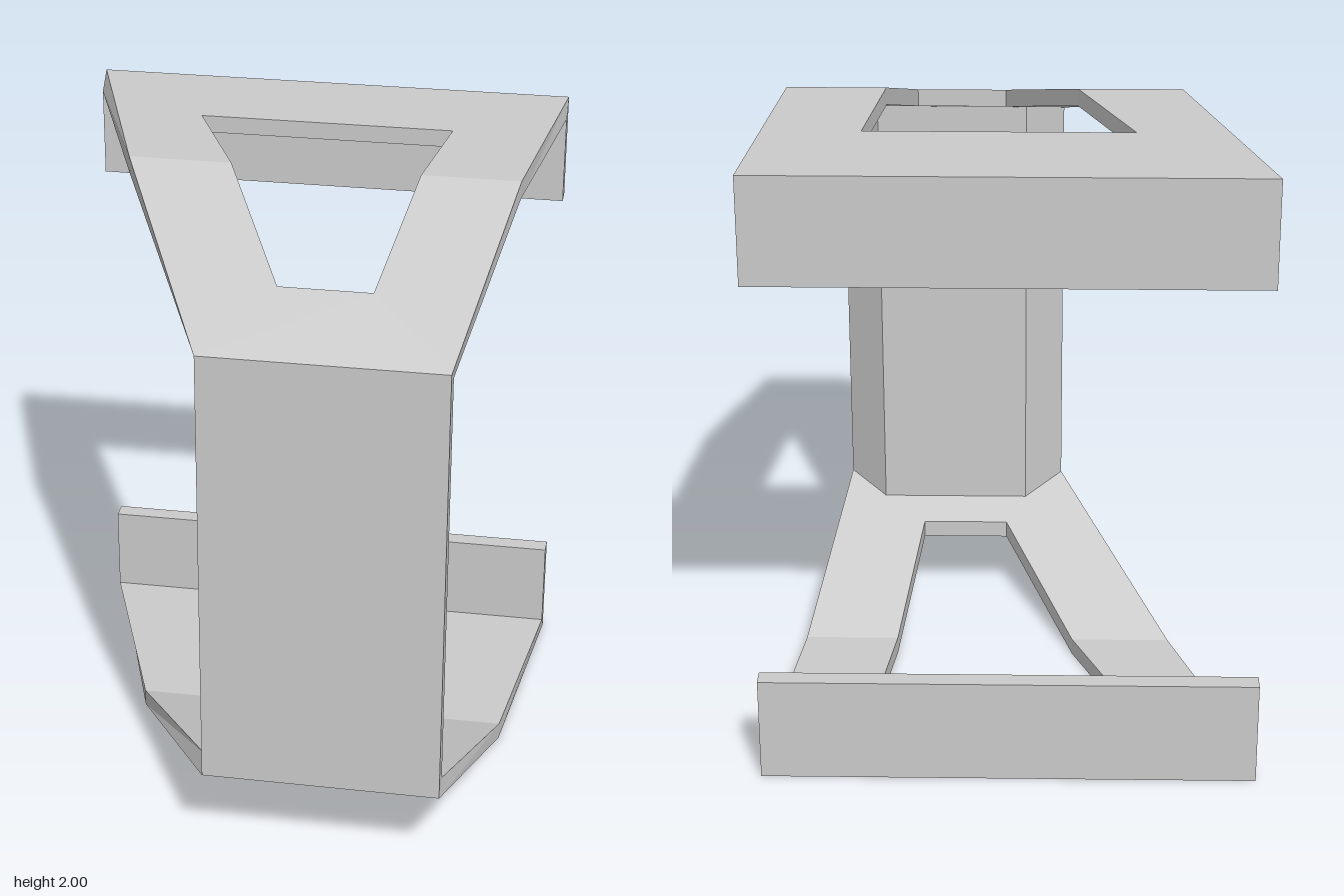
import * as THREE from 'three';

const material = new THREE.MeshStandardMaterial({ color: 0xcccccc, flatShading: true });

// Heights of the outer and inner skin of the bent plate at depth z
const BEND = -0.015;
const outerY = z => 2 - 0.357 * Math.max(0, z - BEND);
const innerY = z => 1.945 - 0.361 * Math.max(0, z - BEND);

// Joins matching loops of [x, y, z] points with flat quads
function loft(loops, closed) {
  const pos = [];
  const rows = closed ? loops.length : loops.length - 1;
  for (let j = 0; j < rows; j++) {
    const a = loops[j], b = loops[(j + 1) % loops.length];
    for (let i = 0; i < a.length; i++) {
      const k = (i + 1) % a.length;
      pos.push(...a[i], ...a[k], ...b[k], ...a[i], ...b[k], ...b[i]);
    }
  }
  const geo = new THREE.BufferGeometry();
  geo.setAttribute('position', new THREE.Float32BufferAttribute(pos, 3));
  geo.computeVertexNormals();
  return geo;
}

// Bent, tapered plate with a window; mirrored to the bottom when low
function plateGeometry(low) {
  const rim = [[-0.77, -0.77], [-0.52, BEND], [-0.16, 0.77], [0.58, 0.77], [0.69, BEND], [0.77, -0.77]];
  const rimIn = rim.map(([x, z]) => [x, Math.abs(z) > 0.5 ? Math.sign(z) * 0.71 : z]);
  const hole = [[-0.37, -0.4], [-0.2, BEND], [0.03, 0.48], [0.315, 0.48], [0.385, BEND], [0.435, -0.4]];
  const lift = (pts, f) => pts.map(([x, z]) => [x, f(z), z]);
  let loops = [lift(rim, outerY), lift(hole, outerY), lift(hole, innerY), lift(rimIn, innerY)];
  if (low) loops = loops.map(l => l.map(([x, y, z]) => [x, 2 - y, z]).reverse());
  return loft(loops, true);
}

// Rear lip, mitred against the plate
function lipGeometry(low) {
  const section = [[0.77, 2], [0.77, 1.66], [0.71, 1.66], [0.71, 1.945]];
  const shape = new THREE.Shape(section.map(([u, y]) => new THREE.Vector2(u, low ? 2 - y : y)));
  return new THREE.ExtrudeGeometry(shape, { depth: 1.54, bevelEnabled: false })
    .translate(0, 0, -0.77).rotateY(Math.PI / 2);
}

// Upright front panel with a chamfered thickening on its inside
function panelGeometry() {
  const section = [[-0.16, 0.77], [0.58, 0.77], [0.58, 0.71], [0.457, 0.595], [-0.035, 0.595], [-0.16, 0.71]];
  const top = section.map(([x, z]) => [x, z > 0.75 ? outerY(z) : innerY(z), z]);
  const bottom = top.map(([x, y, z]) => [x, 2 - y, z]);
  return loft([bottom, top], false);
}

export function createModel() {
  const group = new THREE.Group();
  group.name = 'bracket';
  const add = (name, geo) => {
    const mesh = new THREE.Mesh(geo, material);
    mesh.name = name;
    group.add(mesh);
  };
  add('frontPanel', panelGeometry());
  for (const low of [false, true]) {
    const side = low ? 'lower' : 'upper';
    add(side + 'Plate', plateGeometry(low));
    add(side + 'RearLip', lipGeometry(low));
  }
  return group;
}
